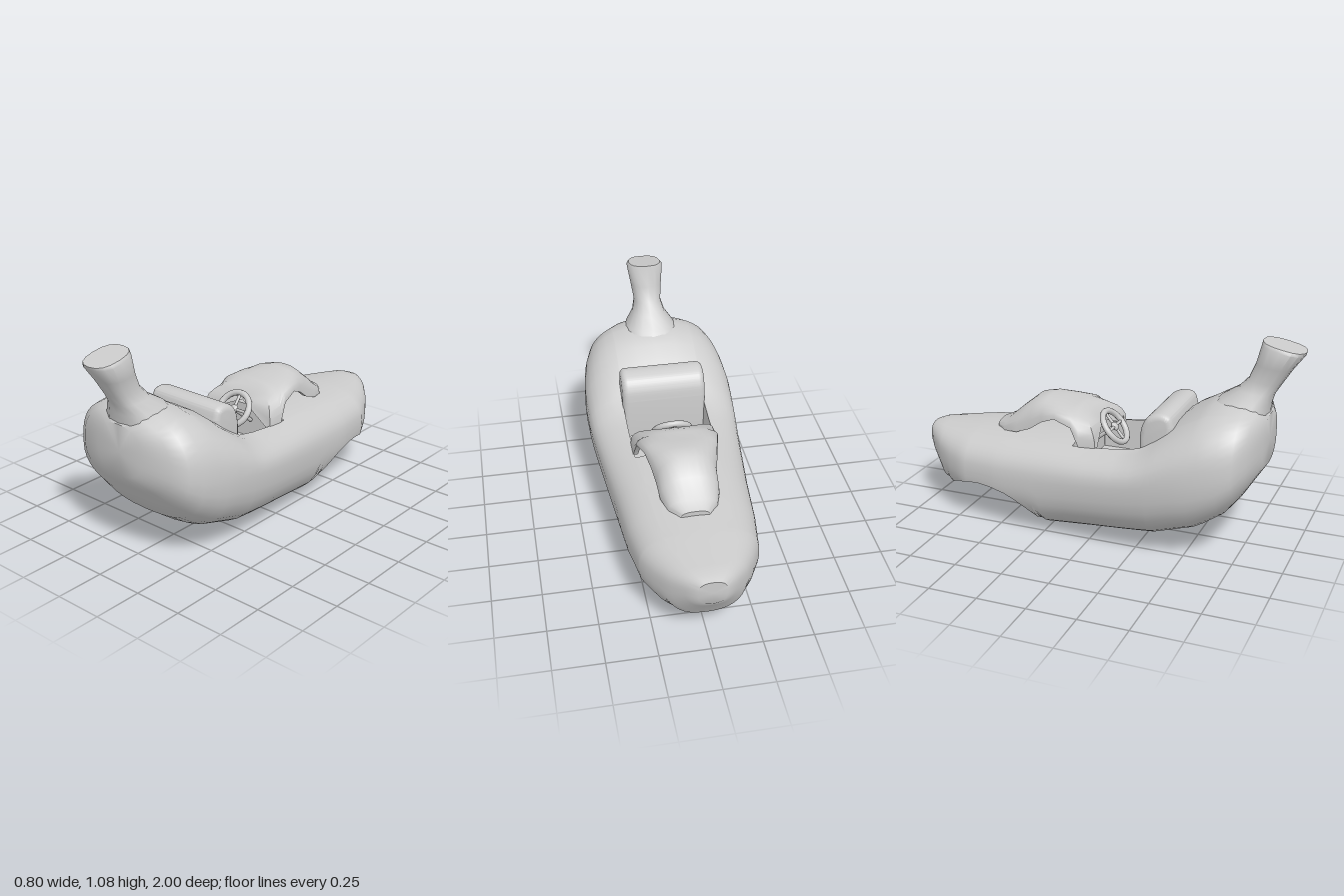
import * as THREE from 'three';
import { toCreasedNormals } from 'three/addons/utils/BufferGeometryUtils.js';

const material = new THREE.MeshStandardMaterial({ color: 0xcccccc });

function addMesh(parent, name, geometry) {
  const mesh = new THREE.Mesh(geometry, material);
  mesh.name = name;
  parent.add(mesh);
  return mesh;
}

// Skin over closed rings of [x, y, z], with fan caps at both ends
function loft(rings, crease) {
  const n = rings[0].length, index = [], pos = rings.flat(2);
  for (let i = 0; i < rings.length - 1; i++) {
    for (let j = 0; j < n; j++) {
      const a = i * n + j, b = i * n + (j + 1) % n;
      index.push(a, b, a + n, b, b + n, a + n);
    }
  }
  [0, rings.length - 1].forEach((r, end) => {
    const centre = pos.length / 3;
    for (let k = 0; k < 3; k++) pos.push(rings[r].reduce((s, p) => s + p[k] / n, 0));
    for (let j = 0; j < n; j++) {
      const a = r * n + j, b = r * n + (j + 1) % n;
      index.push(centre, end ? a : b, end ? b : a);
    }
  });
  const g = new THREE.BufferGeometry();
  g.setAttribute('position', new THREE.Float32BufferAttribute(pos, 3));
  g.setIndex(index);
  return toCreasedNormals(g, crease);
}

// Linear lookup in a table sorted by falling z
function lookup(table, z) {
  let i = 0;
  while (i < table.length - 2 && z < table[i + 1][0]) i++;
  const a = table[i], b = table[i + 1];
  const t = THREE.MathUtils.clamp((a[0] - z) / (a[0] - b[0]), 0, 1);
  return a.map((v, k) => v + (b[k] - v) * t);
}

// z, half width, top, widest height, bottom
const HULL = [
  [0.845, 0.14, 0.72, 0.58, 0.46], [0.80, 0.28, 0.765, 0.54, 0.39],
  [0.75, 0.35, 0.78, 0.50, 0.31], [0.68, 0.375, 0.785, 0.47, 0.22],
  [0.59, 0.39, 0.77, 0.45, 0.155], [0.54, 0.395, 0.74, 0.44, 0.125],
  [0.46, 0.40, 0.695, 0.43, 0.10], [0.34, 0.396, 0.60, 0.40, 0.06],
  [0.25, 0.39, 0.54, 0.38, 0.052], [0.15, 0.38, 0.522, 0.36, 0.043],
  [0, 0.365, 0.51, 0.34, 0.03], [-0.25, 0.34, 0.503, 0.31, 0.005],
  [-0.5, 0.32, 0.485, 0.30, 0.03], [-0.7, 0.29, 0.47, 0.30, 0.07],
  [-0.8, 0.24, 0.46, 0.31, 0.10], [-0.88, 0.19, 0.452, 0.33, 0.13],
  [-0.96, 0.12, 0.445, 0.36, 0.25], [-1, 0.07, 0.43, 0.37, 0.30],
];
// Arch cut across the underside: z, height
const ARCH = [
  [-0.25, 0], [-0.29, 0.07], [-0.35, 0.15], [-0.40, 0.185], [-0.45, 0.21], [-0.52, 0.228],
  [-0.6, 0.235], [-0.68, 0.226], [-0.75, 0.205], [-0.83, 0.16], [-0.88, 0.13], [-0.9, 0],
];
const COCKPIT = { front: 0.32, back: -0.1, floor: 0.33 };

function hullRing(z) {
  const [, w, top, mid, bottom] = lookup(HULL, z);
  const N = 2.5, half = [];
  const inner = Math.min(0.215, 0.6 * w);
  const open = z <= COCKPIT.front && z >= COCKPIT.back;
  // deck columns, dropped to the floor inside the cockpit
  for (const x of [0, inner * 0.5, inner - 0.005]) {
    const y = mid + (top - mid) * (1 - (x / w) ** N) ** (1 / N);
    half.push([x, open ? COCKPIT.floor : y, z]);
  }
  // shoulder
  const start = Math.acos((inner / w) ** (N / 2));
  for (let i = 0; i <= 7; i++) {
    const a = start * (1 - i / 7);
    half.push([w * Math.cos(a) ** (2 / N), mid + (top - mid) * Math.sin(a) ** (2 / N), z]);
  }
  // belly, ending where the arch cuts it
  const cut = z <= -0.25 && z >= -0.89 ? Math.max(bottom, lookup(ARCH, z)[1]) : bottom;
  const end = Math.asin(Math.min(1, ((mid - cut) / (mid - bottom)) ** (N / 2)));
  for (let i = 1; i <= 9; i++) {
    const a = end * i / 9;
    const x = w * Math.max(0, Math.cos(a)) ** (2 / N);
    half.push([Math.max(x, 0.01), mid - (mid - bottom) * Math.sin(a) ** (2 / N), z]);
  }
  half.push([0, cut, z]);
  const mirrored = half.slice(1, -1).reverse().map(([x, y, zz]) => [-x, y, zz]);
  return [...half, ...mirrored];
}

function buildHull() {
  const { front, back } = COCKPIT;
  const zs = [...HULL.map(r => r[0]), ...ARCH.map(r => r[0]), front + 0.005, front, back, back - 0.005];
  const rows = [...new Set(zs)].sort((a, b) => b - a);
  return loft(rows.map(hullRing), 0.75);
}

// Stem sections, tip first: front z, front y, back z, back y, half width
function buildStem() {
  const sections = [
    [1.0, 1.04, 0.79, 1.083, 0.085], [0.995, 1.025, 0.787, 1.07, 0.096],
    [0.94, 0.95, 0.762, 0.97, 0.083], [0.89, 0.87, 0.73, 0.89, 0.072],
    [0.86, 0.82, 0.68, 0.835, 0.088], [0.845, 0.77, 0.60, 0.785, 0.13],
    [0.835, 0.66, 0.52, 0.70, 0.17],
  ];
  const rings = sections.map(([zf, yf, zb, yb, w]) => Array.from({ length: 16 }, (_, j) => {
    const a = j / 16 * Math.PI * 2, s = Math.sin(a), c = Math.cos(a);
    const t = 0.5 + 0.5 * Math.sign(c) * Math.abs(c) ** 0.8;
    return [Math.sign(s) * w * Math.abs(s) ** 0.8, yb + (yf - yb) * (1 - t), zb + (zf - zb) * (1 - t)];
  }));
  return loft(rings, 0.9);
}

// Cowl sections: centre z, forward sweep of the sides, half width, top, side edge
function buildCowl() {
  const sections = [
    [-0.08, 0.10, 0.22, 0.63, 0.48], [-0.12, 0.05, 0.22, 0.65, 0.48],
    [-0.15, 0.03, 0.208, 0.652, 0.575], [-0.22, 0, 0.185, 0.658, 0.60],
    [-0.30, 0, 0.165, 0.675, 0.565], [-0.37, 0, 0.15, 0.665, 0.515],
    [-0.45, 0, 0.146, 0.60, 0.485], [-0.53, 0, 0.12, 0.53, 0.475], [-0.59, 0, 0.07, 0.503, 0.475],
  ];
  const steps = 14;
  const rings = sections.map(([z, sweep, w, top, side]) => {
    const arc = thick => Array.from({ length: steps + 1 }, (_, i) => {
      const a = Math.PI * (1 - i / steps), c = Math.cos(a), s = Math.max(0, Math.sin(a));
      const x = Math.sign(c) * Math.abs(c) ** 0.8 * (w - thick);
      return [x, side + (top - thick - side) * s ** 0.8, z + sweep * c * c];
    });
    return [...arc(0), ...arc(0.025).reverse()];
  });
  return loft(rings, 0.9);
}

// Padded seat back: side profile swept across the cockpit
function buildSeat() {
  const bevel = 0.03;
  const shape = new THREE.Shape();
  shape.moveTo(0.25, 0.36);
  shape.lineTo(0.247, 0.58);
  shape.splineThru([[0.258, 0.64], [0.29, 0.69], [0.35, 0.713], [0.40, 0.70], [0.42, 0.65]]
    .map(p => new THREE.Vector2(...p)));
  shape.lineTo(0.38, 0.36);
  const g = new THREE.ExtrudeGeometry(shape, {
    depth: 0.44 - 2 * bevel, bevelSize: bevel, bevelThickness: bevel,
    bevelOffset: -bevel, bevelSegments: 4, curveSegments: 14,
  });
  g.translate(0, 0, -0.22 + bevel);
  g.rotateY(-Math.PI / 2);
  return toCreasedNormals(g, 0.8);
}

function buildSteeringWheel() {
  const wheel = new THREE.Group();
  wheel.name = 'steeringWheel';
  addMesh(wheel, 'wheelRim', new THREE.TorusGeometry(0.09, 0.016, 10, 32));
  addMesh(wheel, 'wheelHub', new THREE.SphereGeometry(0.024, 14, 10)).scale.z = 0.6;
  for (let i = 0; i < 2; i++) {
    const spoke = addMesh(wheel, 'wheelSpoke', new THREE.CylinderGeometry(0.008, 0.008, 0.18, 8));
    spoke.rotation.z = i * Math.PI / 2;
  }
  const column = addMesh(wheel, 'steeringColumn', new THREE.CylinderGeometry(0.011, 0.011, 0.17, 10));
  column.rotation.x = Math.PI / 2;
  column.position.z = -0.085;
  wheel.position.set(0, 0.535, 0.04);
  wheel.rotation.x = -0.67;
  return wheel;
}

export function createModel() {
  const model = new THREE.Group();
  model.name = 'stemmedCar';
  addMesh(model, 'hull', buildHull());
  addMesh(model, 'stem', buildStem());
  addMesh(model, 'cowl', buildCowl());
  addMesh(model, 'seat', buildSeat());
  model.add(buildSteeringWheel());
  return model;
}
